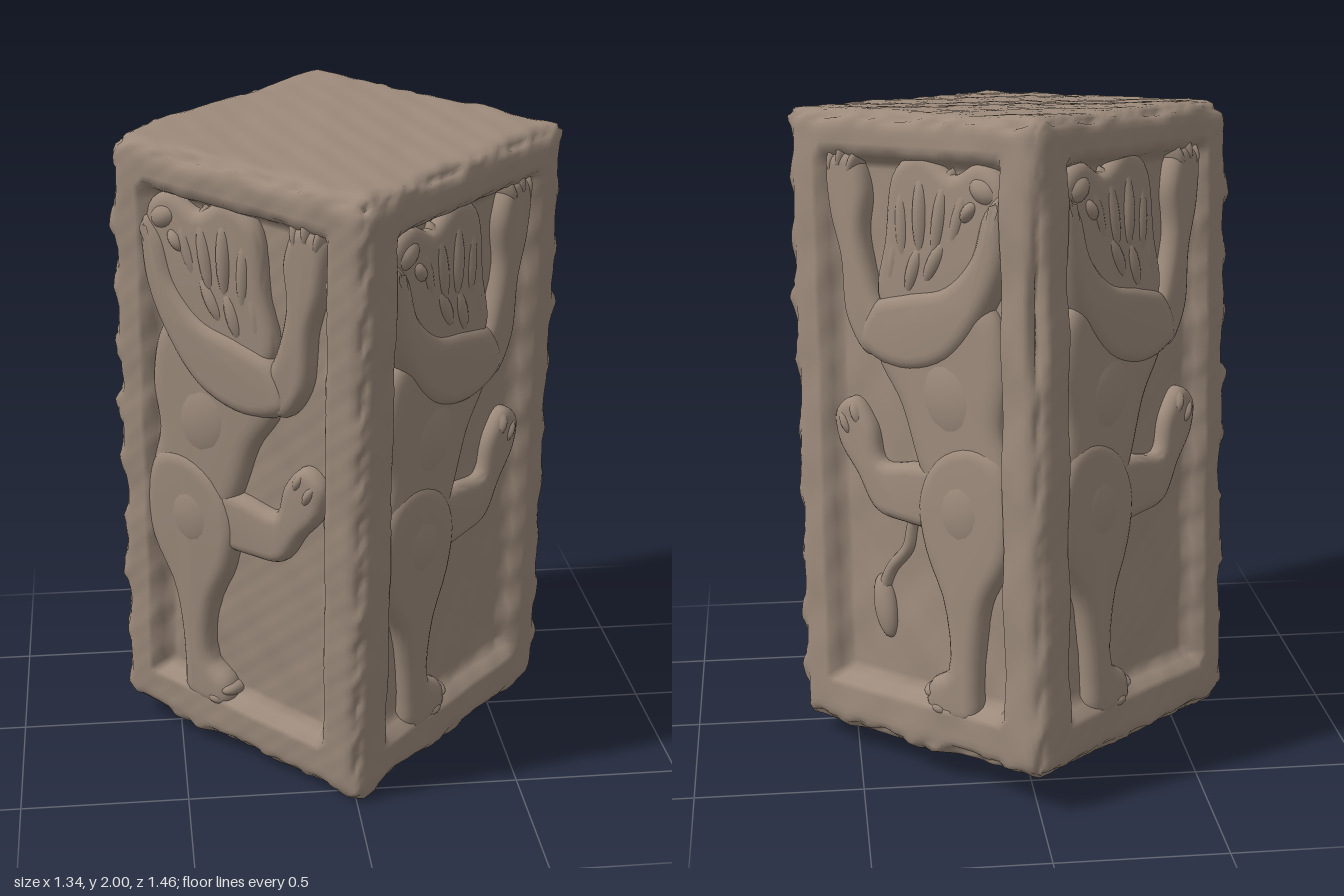
import * as THREE from 'three';
import { mergeVertices, toCreasedNormals } from 'three/addons/utils/BufferGeometryUtils.js';

const HALF = 0.48, HALF_H = 0.95, ROUND = 0.055, RECESS = 0.055;
const PANEL = HALF - RECESS;

const stone = new THREE.MeshStandardMaterial({ color: 0x9c8a7b });
stone.name = 'weathered stone';

// smooth repeatable unevenness, about -1..1
function wobble(x, y, z, f) {
  return (Math.sin(f * (x + 1.3 * y) + 1.7) * Math.cos(f * (1.1 * z - 0.6 * y) + 0.4)
    + Math.sin(f * (1.9 * y - 0.8 * x + z) + 2.9) * Math.cos(f * 1.7 * (x - z)) ) * 0.6;
}

// Block with worn rounded edges and a sunken panel on each of the four sides
function makeBlock() {
  let geo = new THREE.BoxGeometry(2 * HALF, 2 * HALF_H, 2 * HALF, 50, 100, 50);
  const pos = geo.attributes.position;
  const half = new THREE.Vector3(HALF, HALF_H, HALF);
  const inner = half.clone().subScalar(ROUND);
  const p = new THREE.Vector3(), q = new THREE.Vector3(), dir = new THREE.Vector3();
  for (let i = 0; i < pos.count; i++) {
    p.fromBufferAttribute(pos, i);
    q.copy(p).clamp(inner.clone().negate(), inner);
    dir.subVectors(p, q).normalize();
    const ax = Math.abs(dir.x), ay = Math.abs(dir.y), az = Math.abs(dir.z);
    const edge = (1 - Math.max(ax, ay, az)) * 3.4;
    let out = ROUND + 0.005 * wobble(p.x, p.y, p.z, 9) + 0.002 * wobble(p.z, p.x, p.y, 31);
    // chipped edges
    out -= edge * 0.018 * (0.4 + wobble(p.x, p.y, p.z, 17) + 0.5 * wobble(p.y, p.z, p.x, 37));
    // larger break on the rear corner
    if (p.x > 0.3 && p.z < -0.3) out -= edge * 0.05 * Math.exp(-(((p.y - 0.38) / 0.18) ** 2));
    // sunken panel
    if (ay < 0.5 && edge < 0.01) {
      const t = ax > az ? p.z : p.x;
      const d = Math.min(0.345 - Math.abs(t), 0.815 - Math.abs(p.y - 0.015)) + 0.004 * wobble(p.x, p.y, p.z, 23);
      out -= RECESS * THREE.MathUtils.smoothstep(d, 0, 0.035);
    }
    q.addScaledVector(dir, out);
    pos.setXYZ(i, q.x, q.y, q.z);
  }
  geo.deleteAttribute('uv');
  geo.deleteAttribute('normal');
  geo = mergeVertices(geo, 1e-5);
  geo.computeVertexNormals();
  const mesh = new THREE.Mesh(geo, stone);
  mesh.name = 'stoneBlock';
  return mesh;
}

// Outlines in panel coordinates: u from the left edge, v from the bottom
const SLABS = [
  { name: 'torso', h: 0.046, soft: 0.06, pts: [[.20, 1.35], [.14, 1.17], [.16, 1.0], [.13, .86], [.17, .72], [.34, .70], [.44, .83], [.52, 1.04], [.61, 1.2], [.45, 1.36]] },
  { name: 'standingHindLeg', h: 0.056, soft: 0.045, pts: [[.16, .92], [.11, .78], [.13, .63], [.21, .49], [.24, .35], [.25, .22], [.26, .12], [.37, .11], [.43, .14], [.42, .21], [.35, .26], [.36, .46], [.43, .62], [.45, .77], [.38, .90], [.26, .95]] },
  { name: 'raisedHindLeg', h: 0.044, soft: 0.035, pts: [[.36, .85], [.48, .86], [.61, .85], [.65, .96], [.72, 1.03], [.78, .99], [.77, .90], [.70, .81], [.63, .71], [.53, .69], [.38, .70]] },
  { name: 'mane', h: 0.042, soft: 0.04, pts: [[.14, 1.70], [.22, 1.75], [.32, 1.71], [.43, 1.77], [.53, 1.72], [.57, 1.52], [.60, 1.35], [.48, 1.25], [.30, 1.28], [.18, 1.42], [.13, 1.57]] },
  { name: 'shoulder', h: 0.060, soft: 0.045, pts: [[.13, 1.67], [.19, 1.62], [.24, 1.49], [.34, 1.40], [.48, 1.37], [.61, 1.33], [.66, 1.21], [.52, 1.15], [.34, 1.19], [.20, 1.34], [.13, 1.50]] },
  { name: 'raisedForeleg', h: 0.052, soft: 0.035, pts: [[.56, 1.24], [.64, 1.18], [.72, 1.28], [.74, 1.46], [.78, 1.60], [.78, 1.74], [.70, 1.76], [.65, 1.66], [.66, 1.52], [.62, 1.36]] },
];

// Locks of hair, face and toes: u, v, half length, half width, angle, height
const LUMPS = {
  maneLock: [
    [.29, 1.60, .13, .035, 1.9, .05], [.36, 1.59, .15, .036, 1.75, .055], [.43, 1.60, .15, .036, 1.6, .058],
    [.50, 1.57, .15, .034, 1.55, .052], [.54, 1.46, .13, .032, 1.75, .046], [.38, 1.47, .10, .035, 2.1, .055],
    [.46, 1.44, .10, .035, 1.9, .055],
  ],
  muzzle: [[.20, 1.68, .065, .045, .5, .058], [.25, 1.62, .05, .03, 2.3, .06]],
  toe: [
    [.69, 1.73, .06, .022, 1.9, .055], [.73, 1.75, .06, .022, 1.7, .058], [.77, 1.73, .055, .02, 1.5, .055],
    [.70, .99, .05, .024, 1.1, .052], [.74, .96, .055, .024, 1.1, .055],
    [.38, .14, .05, .03, .1, .062], [.42, .18, .035, .025, .2, .055],
  ],
  thighMuscle: [[.29, .75, .15, .12, 1.6, .066]],
  ribcage: [[.34, 1.08, .16, .13, 1.2, .058]],
};

// Softly rounded relief cut from a smooth closed outline
function makeSlab({ name, h, soft, pts }, side) {
  const curve = new THREE.CatmullRomCurve3(
    pts.map(([u, v]) => new THREE.Vector3(side * (u - 0.47), v - 0.94, 0)), true);
  const shape = new THREE.Shape(curve.getPoints(56).slice(0, -1).map((p) => new THREE.Vector2(p.x, p.y)));
  const geo = new THREE.ExtrudeGeometry(shape, {
    depth: h * 0.25, bevelThickness: h * 0.75, bevelSize: soft, bevelOffset: -soft + 0.008, bevelSegments: 5,
  });
  const mesh = new THREE.Mesh(toCreasedNormals(geo, 0.9), stone);
  mesh.position.z = PANEL;
  mesh.name = name;
  return mesh;
}

function makeLump(name, [u, v, len, wid, angle, h], side) {
  const mesh = new THREE.Mesh(new THREE.SphereGeometry(1, 20, 12), stone);
  mesh.scale.set(len, wid, h);
  mesh.rotation.z = side * angle;
  mesh.position.set(side * (u - 0.47), v - 0.94, PANEL);
  mesh.name = name;
  return mesh;
}

// Thin tail with a tuft
function makeTail(side) {
  const tail = new THREE.Group();
  tail.name = 'tail';
  const path = new THREE.CatmullRomCurve3([[.43, .74], [.50, .69], [.53, .60], [.60, .52], [.63, .44], [.62, .36]]
    .map(([u, v]) => new THREE.Vector3(side * (u - 0.47), v - 0.94, PANEL)));
  const cord = new THREE.Mesh(new THREE.TubeGeometry(path, 30, 0.02, 8), stone);
  cord.name = 'tailCord';
  tail.add(cord, makeLump('tailTuft', [.625, .40, .10, .042, 1.4, .03], side));
  return tail;
}

// One rearing lion; side = -1 mirrors it
function makeLion(side) {
  const lion = new THREE.Group();
  lion.name = 'lionRelief';
  for (const slab of SLABS) lion.add(makeSlab(slab, side));
  for (const [name, list] of Object.entries(LUMPS)) {
    for (const lump of list) lion.add(makeLump(name, lump, side));
  }
  if (side < 0) lion.add(makeTail(side));
  return lion;
}

export function createModel() {
  const model = new THREE.Group();
  model.name = 'carvedPillar';
  // the pillar stands on its corner diagonal and leans slightly forward
  const pillar = new THREE.Group();
  pillar.name = 'leaningPillar';
  pillar.position.y = 1;
  pillar.rotation.set(0.083, Math.PI / 4, 0);
  pillar.add(makeBlock());
  [1, -1, 1, 1].forEach((side, k) => {
    const lion = makeLion(side);
    lion.rotation.y = k * Math.PI / 2;
    pillar.add(lion);
  });
  model.add(pillar);
  return model;
}
